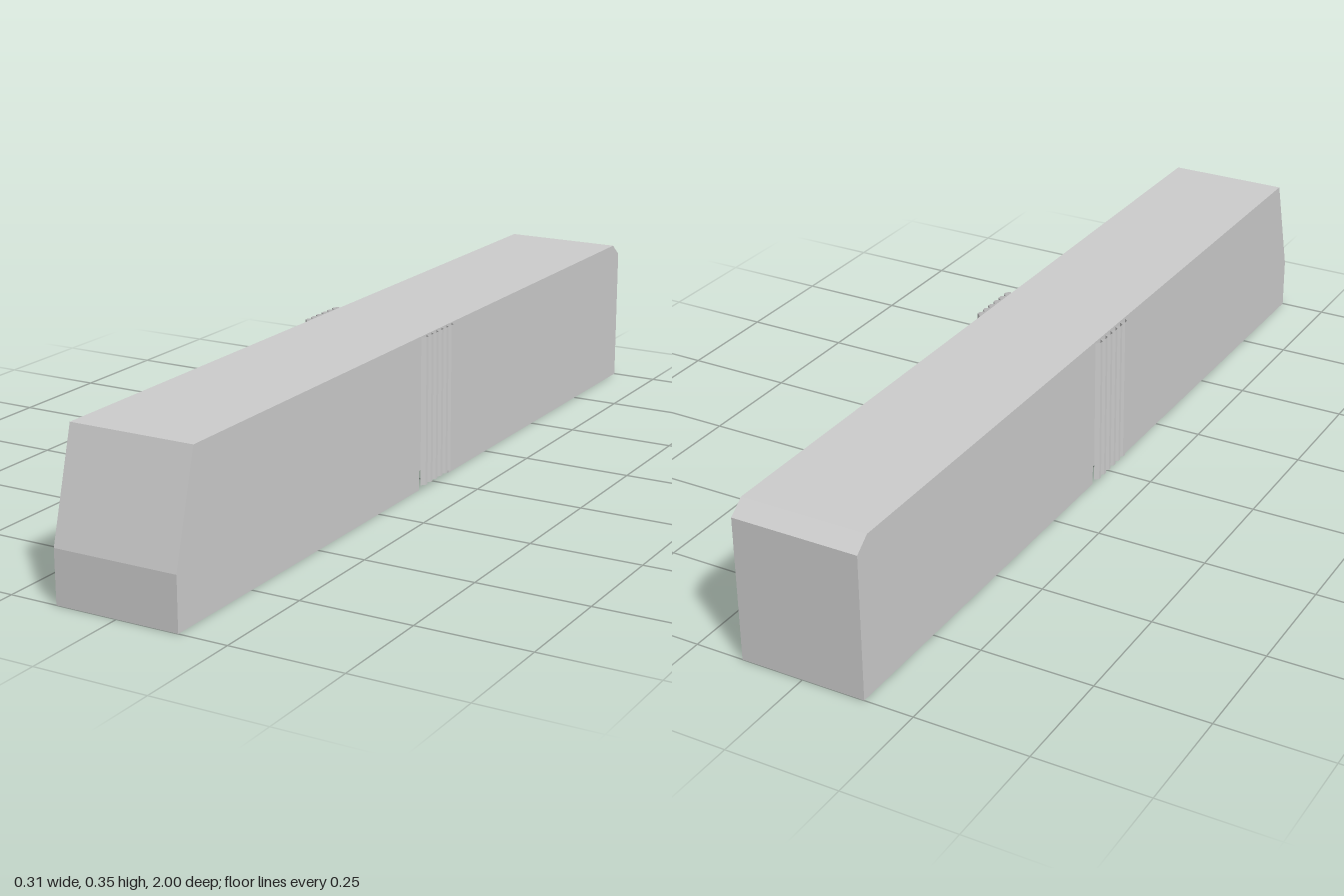
import * as THREE from 'three';

const HALF_W = 0.141, TOP = 0.35, JOINT = 0.07;

export function createModel() {
  const group = new THREE.Group();
  const grey = new THREE.MeshStandardMaterial({ color: 0xcccccc, flatShading: true });
  const sheet = new THREE.MeshStandardMaterial({ color: 0xcccccc, flatShading: true, side: THREE.DoubleSide });

  const add = (name, geometry, material = grey) => {
    const mesh = new THREE.Mesh(geometry, material);
    mesh.name = name;
    group.add(mesh);
    return mesh;
  };
  const extrude = (points, depth) => new THREE.ExtrudeGeometry(
    new THREE.Shape(points.map(([a, b]) => new THREE.Vector2(a, b))),
    { depth, bevelEnabled: false });

  // Side outlines are drawn as (z, y) and extruded across the width
  const section = (name, outline) => {
    const g = extrude(outline.map(([z, y]) => [-z, y]), HALF_W * 2);
    g.rotateY(Math.PI / 2).translate(-HALF_W, 0, 0);
    add(name, g);
  };
  section('frontCar', [[JOINT, 0], [1, 0], [1, 0.117], [0.935, TOP], [JOINT, TOP]]);
  section('rearCar', [[-JOINT, 0], [-JOINT, TOP], [-0.965, TOP], [-1, 0.322], [-1, 0]]);

  // Joint between the cars, with lower corners cut away
  const joint = extrude([
    [-0.09, 0.012], [0.09, 0.012], [HALF_W, 0.045], [HALF_W, TOP],
    [-HALF_W, TOP], [-HALF_W, 0.045]], JOINT * 2);
  joint.translate(0, 0, -JOINT);
  add('joint', joint);

  // Pleated side curtains
  const ribs = 6, pitch = (JOINT * 2) / ribs, low = 0.012;
  const path = [];
  for (let i = 0; i < ribs; i++) {
    const z = -JOINT + i * pitch;
    path.push([0.1446, z], [0.1536, z + pitch * 0.3], [0.1536, z + pitch * 0.7]);
  }
  path.push([0.1446, JOINT]);
  for (const side of [1, -1]) {
    const pos = [], index = [];
    path.forEach(([x, z], i) => {
      pos.push(side * x, low, side * z, side * x, TOP, side * z);
      if (i) {
        const a = 2 * i - 2;
        index.push(a, a + 1, a + 2, a + 1, a + 3, a + 2);
      }
    });
    const g = new THREE.BufferGeometry();
    g.setAttribute('position', new THREE.Float32BufferAttribute(pos, 3));
    g.setIndex(index);
    g.computeVertexNormals();
    add(side > 0 ? 'leftBellows' : 'rightBellows', g, sheet);
  }
  return group;
}
